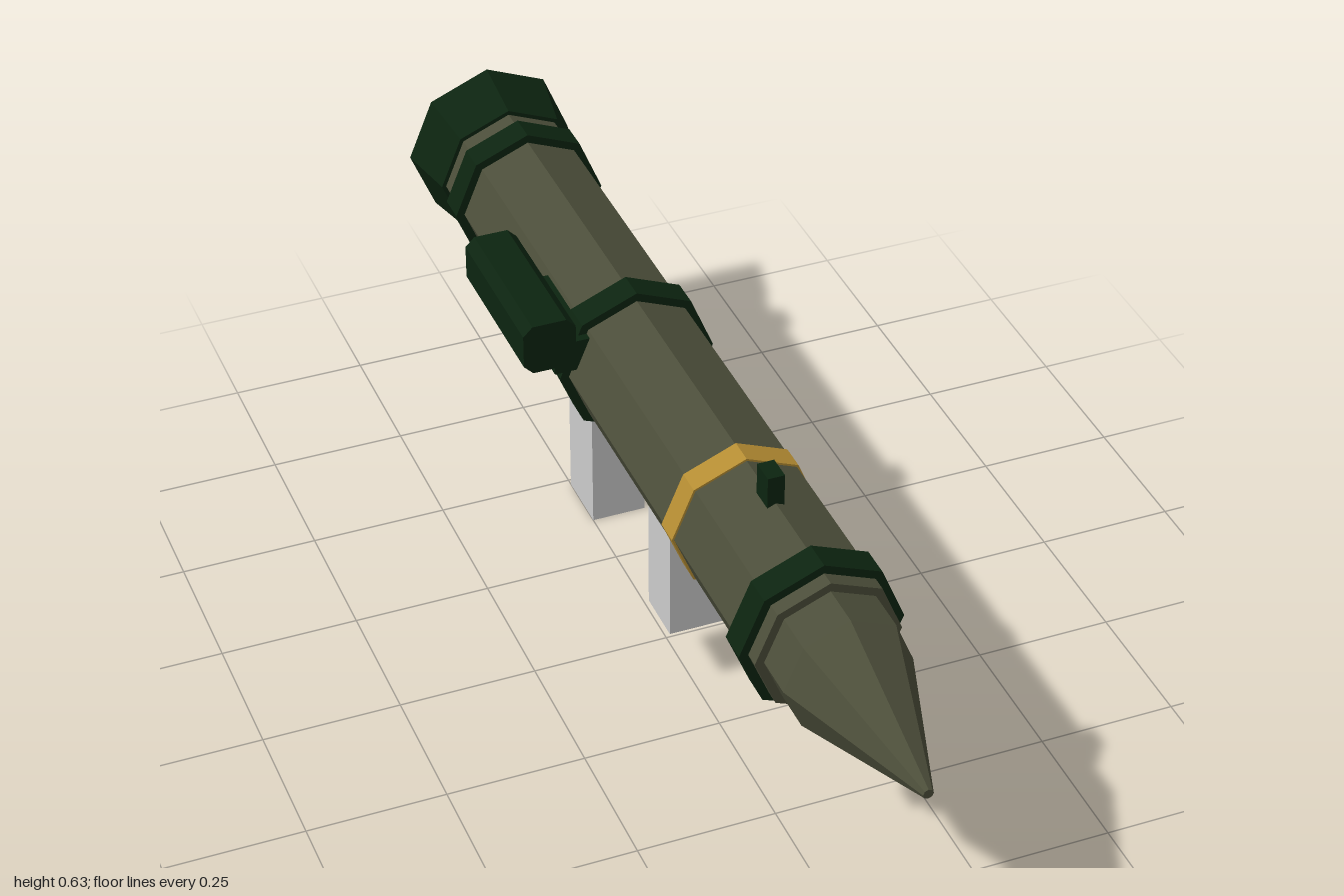
import * as THREE from 'three';

const AX = 0.032, AY = 0.452; // tube axis

const material = (name, color) => {
  const m = new THREE.MeshStandardMaterial({ color, flatShading: true });
  m.name = name;
  return m;
};

export function createModel() {
  const olive = material('olive', 0x4c4e3a);
  const darkGreen = material('dark green', 0x0c2410);
  const yellow = material('yellow', 0xb58d33);
  const grey = material('light grey', 0xcccccc);

  const model = new THREE.Group();
  model.name = 'rocketLauncher';

  const add = (name, geometry, mat) => {
    const mesh = new THREE.Mesh(geometry, mat);
    mesh.name = name;
    model.add(mesh);
    return mesh;
  };

  // Eight-sided section along the tube axis
  const section = (name, mat, z0, z1, r0, r1 = r0) => {
    const g = new THREE.CylinderGeometry(r1, r0, z1 - z0, 8);
    g.rotateX(Math.PI / 2);
    g.translate(AX, AY, (z0 + z1) / 2);
    return add(name, g, mat);
  };

  // Box given by its limits
  const box = (name, mat, x0, x1, y0, y1, z0, z1) => {
    const g = new THREE.BoxGeometry(x1 - x0, y1 - y0, z1 - z0);
    g.translate((x0 + x1) / 2, (y0 + y1) / 2, (z0 + z1) / 2);
    return add(name, g, mat);
  };

  // Tube, warhead and rear flare
  section('tube', olive, -0.9, 0.622, 0.128);
  section('warheadBase', olive, 0.6, 0.7, 0.112);
  section('warheadCone', olive, 0.7, 1, 0.112, 0.009);
  section('rearFlare', darkGreen, -1, -0.88, 0.159, 0.136);

  // Bands around the tube
  [['frontBand', 0.54, 0.595], ['middleBand', -0.275, -0.22], ['rearBand', -0.83, -0.775]]
    .forEach(([name, z0, z1]) => section(name, darkGreen, z0, z1, 0.144));
  section('yellowBand', yellow, 0.23, 0.277, 0.132);

  // Grips and shoulder rest
  box('frontGrip', grey, -0.045, 0.056, 0.122, 0.36, 0.03, 0.13);
  box('rearGrip', grey, 0, 0.102, 0, 0.36, -0.487, -0.368);
  box('shoulderRest', grey, -0.045, 0.075, 0.29, 0.345, -0.86, -0.577);
  box('triggerHousing', darkGreen, 0.002, 0.1005, 0.302, 0.37, -0.548, -0.278);

  // Front sight
  box('frontSight', darkGreen, 0.017, 0.047, 0.56, 0.633, 0.355, 0.4);

  // Scope with cut corners and its mount
  const h = 0.048, c = 0.031;
  const outline = new THREE.Shape(
    [[h, -c], [h, c], [c, h], [-c, h], [-h, c], [-h, -c], [-c, -h], [c, -h]]
      .map(([x, y]) => new THREE.Vector2(x, y)));
  const scope = new THREE.ExtrudeGeometry(outline, { depth: 0.3, bevelEnabled: false });
  scope.translate(-0.146, 0.559, -0.475);
  add('scope', scope, darkGreen);
  box('scopeMount', darkGreen, -0.127, -0.05, 0.475, 0.535, -0.415, -0.205);

  return model;
}
